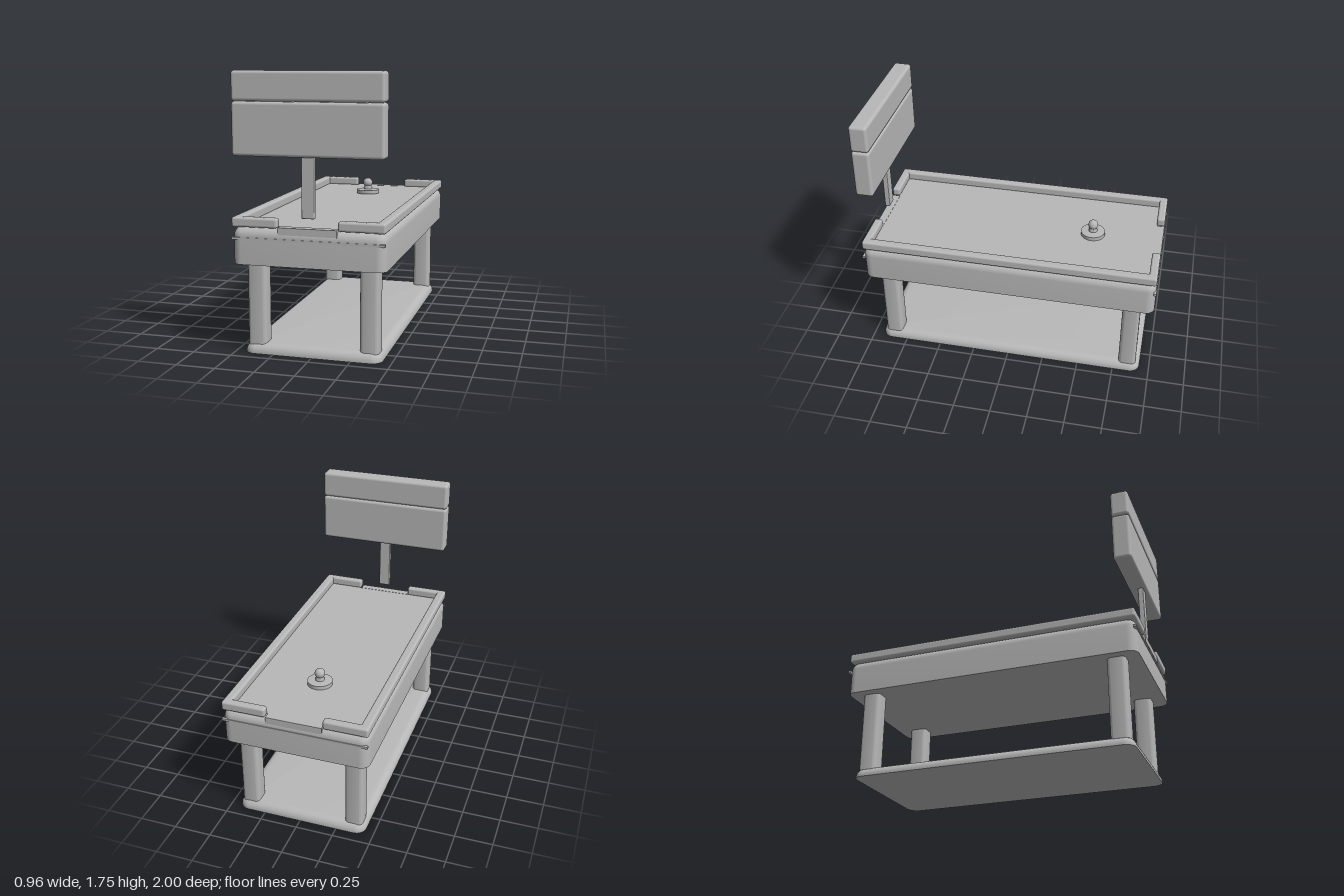
import * as THREE from 'three';
import { toCreasedNormals } from 'three/addons/utils/BufferGeometryUtils.js';
import { RoundedBoxGeometry } from 'three/addons/geometries/RoundedBoxGeometry.js';

const grey = new THREE.MeshStandardMaterial({ color: 0xb8b8b8 });
grey.name = 'plain grey';

// Slab with rounded upright corners; the top edge is rounded by "edge", the bottom is sharp
function slabGeometry(w, h, d, corner, edge) {
  const rings = [[0, 0]];
  const steps = edge > 0 ? 8 : 0;
  for (let i = 0; i <= steps; i++) {
    const a = steps ? (i / steps) * Math.PI / 2 : 0;
    rings.push([edge * (1 - Math.cos(a)), h - edge + edge * Math.sin(a)]);
  }
  const pos = [], idx = [], cornerSteps = 8, n = 4 * (cornerSteps + 1);
  for (const [inset, y] of rings) {
    const r = Math.max(corner - inset, 0.001);
    for (let q = 0; q < 4; q++) {
      const sx = q === 0 || q === 3 ? 1 : -1, sz = q < 2 ? 1 : -1;
      for (let k = 0; k <= cornerSteps; k++) {
        const a = (q + k / cornerSteps) * Math.PI / 2;
        pos.push(sx * (w / 2 - inset - r) + r * Math.cos(a), y,
          sz * (d / 2 - inset - r) + r * Math.sin(a));
      }
    }
  }
  const last = rings.length - 1;
  for (let j = 0; j < last; j++) {
    for (let i = 0; i < n; i++) {
      const a = j * n + i, b = j * n + (i + 1) % n;
      idx.push(a, a + n, b, b, a + n, b + n);
    }
  }
  // caps
  const c = pos.length / 3;
  pos.push(0, 0, 0, 0, h, 0);
  for (let i = 0; i < n; i++) {
    const k = (i + 1) % n;
    idx.push(c, i, k, c + 1, last * n + k, last * n + i);
  }
  const g = new THREE.BufferGeometry();
  g.setAttribute('position', new THREE.Float32BufferAttribute(pos, 3));
  g.setIndex(idx);
  return toCreasedNormals(g, 0.6);
}

export function createModel() {
  const model = new THREE.Group();
  model.name = 'airHockeyTable';

  const add = (name, geometry, x, y, z) => {
    const mesh = new THREE.Mesh(geometry, grey);
    mesh.name = name;
    mesh.position.set(x, y, z);
    model.add(mesh);
    return mesh;
  };
  // Box given by its limits on each axis, rounded when r > 0
  const box = (name, x0, x1, y0, y1, z0, z1, r = 0) => {
    const s = [x1 - x0, y1 - y0, z1 - z0];
    const g = r ? new RoundedBoxGeometry(...s, 4, r) : new THREE.BoxGeometry(...s);
    return add(name, g, (x0 + x1) / 2, (y0 + y1) / 2, (z0 + z1) / 2);
  };

  // Floor plinth and table body
  add('base', slabGeometry(0.88, 0.062, 1.865, 0.07, 0.055), 0, 0, 0);
  add('tableBody', slabGeometry(0.964, 0.232, 1.99, 0.06, 0.058), 0, 0.58, 0);
  box('playingSurface', -0.425, 0.425, 0.8, 0.818, -0.945, 0.945);

  // Legs
  for (const x of [-0.36, 0.36]) {
    for (const z of [-0.845, 0.845]) {
      add('leg', slabGeometry(0.12, 0.54, 0.12, 0.028, 0), x, 0.05, z);
    }
  }

  // Side rails
  for (const s of [-1, 1]) {
    const x = s * 0.452;
    box('sideRail', x - 0.03, x + 0.03, 0.81, 0.873, -0.995, 0.995, 0.015);
  }

  // Both ends: split rail, goal sill and thin trim strip
  for (const s of [-1, 1]) {
    const z = s * 0.967;
    box('endRail', -0.482, -0.19, 0.812, 0.873, z - 0.028, z + 0.028, 0.015);
    box('endRail', 0.19, 0.482, 0.812, 0.873, z - 0.028, z + 0.028, 0.015);
    box('goalSill', -0.185, 0.185, 0.775, 0.82, z - 0.028, z + 0.026);
    box('trimStrip', -0.48, 0.48, 0.735, 0.75, s * 0.99 - 0.009, s * 0.99 + 0.009);
  }

  // Scoreboard on its post
  box('scoreboardPost', -0.04, 0.04, 0.877, 1.26, 0.936, 0.972, 0.006);
  box('scoreboardLower', -0.472, 0.472, 1.245, 1.572, 0.876, 0.996, 0.02);
  box('scoreboardUpper', -0.472, 0.472, 1.573, 1.755, 0.876, 0.996, 0.02);

  // Striker: disc, stem and ball grip
  const profile = [[0, 0], [0.083, 0], [0.083, 0.026], [0.03, 0.03], [0.026, 0.06]]
    .map(([x, y]) => new THREE.Vector2(x, y));
  add('strikerDisc', toCreasedNormals(new THREE.LatheGeometry(profile, 32), 0.6), 0, 0.822, -0.515);
  add('strikerGrip', new THREE.SphereGeometry(0.034, 24, 16), 0, 0.9, -0.515);

  return model;
}
